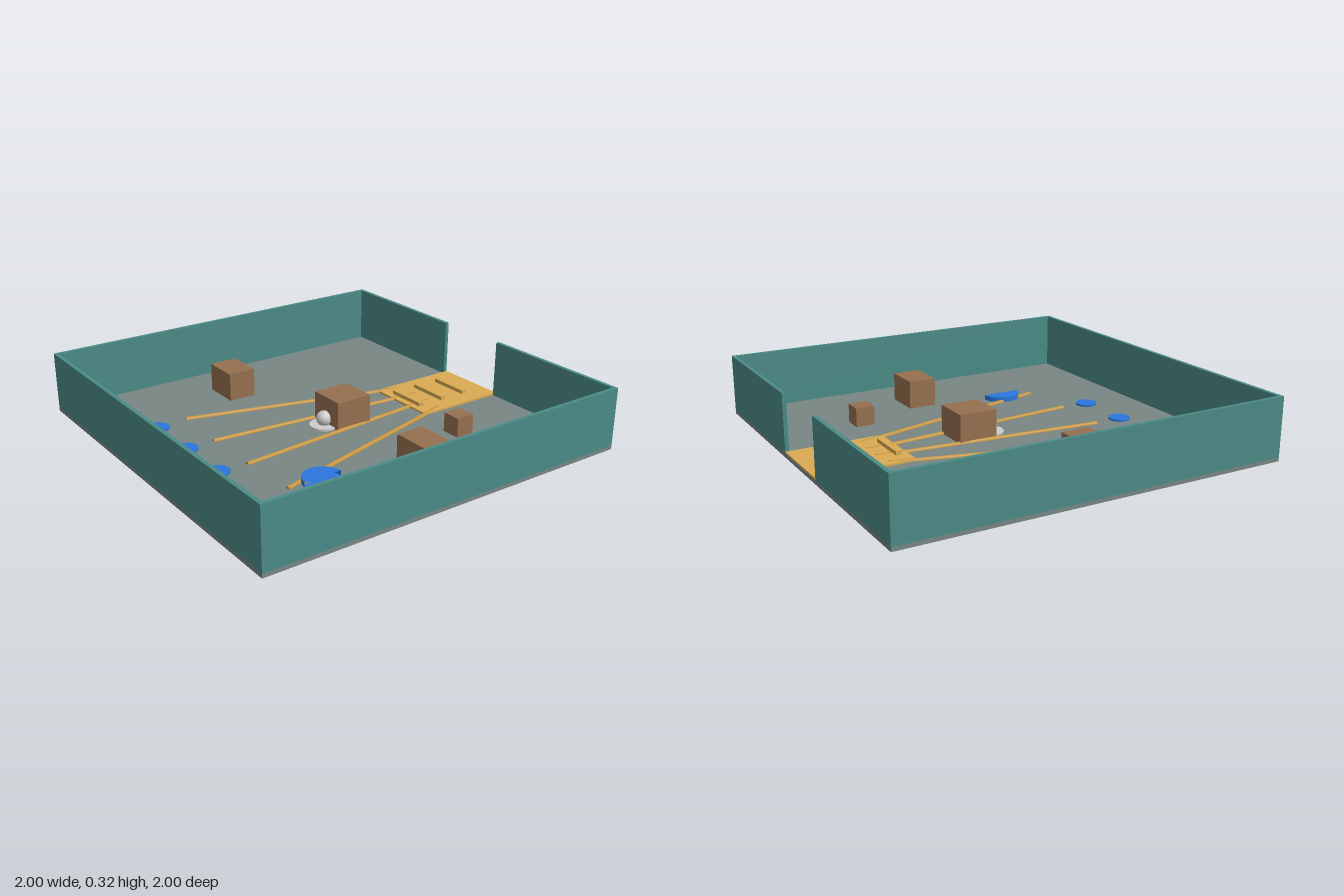
import * as THREE from 'three';

const FLOOR = 0.02; // height of the floor's top

const material = (color, side = THREE.FrontSide) => new THREE.MeshStandardMaterial({ color, side });
const teal = material(0x4a8a86);
const slate = material(0x788684);
const gold = material(0xdaab52);
const ochre = material(0xc4943f);
const brown = material(0x96704f);
const blue = material(0x2a76dd, THREE.DoubleSide);
const grey = material(0xcccccc);

export function createModel() {
  const group = new THREE.Group();

  const add = (name, geometry, mat, x, y, z) => {
    const mesh = new THREE.Mesh(geometry, mat);
    mesh.name = name;
    mesh.position.set(x, y, z);
    group.add(mesh);
    return mesh;
  };
  // Box given by its size and the centre of its underside
  const box = (name, mat, w, h, d, x, y, z) =>
    add(name, new THREE.BoxGeometry(w, h, d), mat, x, y + h / 2, z);

  // Floor and surrounding walls, with an opening in the back wall
  box('floor', slate, 2, FLOOR, 2, 0, 0, 0);
  box('frontWall', teal, 2, 0.3, 0.02, 0, FLOOR, 0.99);
  for (const s of [-1, 1]) {
    const side = s > 0 ? 'left' : 'right';
    box(side + 'Wall', teal, 0.02, 0.3, 1.96, s * 0.99, FLOOR, 0);
    box(side + 'BackWall', teal, 0.8, 0.3, 0.02, s * 0.6, FLOOR, -0.99);
  }

  // Entrance mat with three raised bars across it
  box('entranceMat', gold, 0.4, 0.01, 0.5, 0, FLOOR, -0.75);
  for (const z of [-0.85, -0.7, -0.55]) box('matBar', gold, 0.22, 0.02, 0.03, 0, 0.03, z);

  // Rods fanning out from the mat
  for (const s of [-1, 1]) {
    for (const [x, degrees] of [[0.105, 5], [0.315, 15]]) {
      const geometry = new THREE.CylinderGeometry(0.0125, 0.0125, 1.2, 16);
      geometry.rotateX(Math.PI / 2);
      const rod = add('guideRod', geometry, ochre, s * x, 0.02, -0.047);
      rod.rotation.y = s * THREE.MathUtils.degToRad(degrees);
    }
  }

  // Crates: width, height, depth, x, z
  for (const [w, h, d, x, z] of [
    [0.2, 0.15, 0.2, 0, -0.115],
    [0.2, 0.15, 0.15, -0.65, 0.145],
    [0.2, 0.15, 0.15, 0.65, -0.1],
    [0.1, 0.1, 0.1, 0.45, -0.5],
  ]) box('crate', brown, w, h, d, x, FLOOR, z);

  // Ball on a round base
  add('ballBase', new THREE.CylinderGeometry(0.075, 0.075, 0.01, 32), grey, 0, FLOOR + 0.005, 0);
  add('ball', new THREE.SphereGeometry(0.04, 32, 20), grey, 0, 0.06, 0);

  // Floor discs, and a half disc whose straight edge faces left
  for (const x of [-0.45, -0.15, 0.15]) {
    add('floorDisc', new THREE.CylinderGeometry(0.055, 0.055, 0.01, 32), blue, x, FLOOR + 0.005, 0.7);
  }
  add('halfDisc', new THREE.CylinderGeometry(0.1, 0.1, 0.025, 32, 1, false, Math.PI, Math.PI),
    blue, 0.5, FLOOR + 0.0125, 0.36);

  return group;
}
